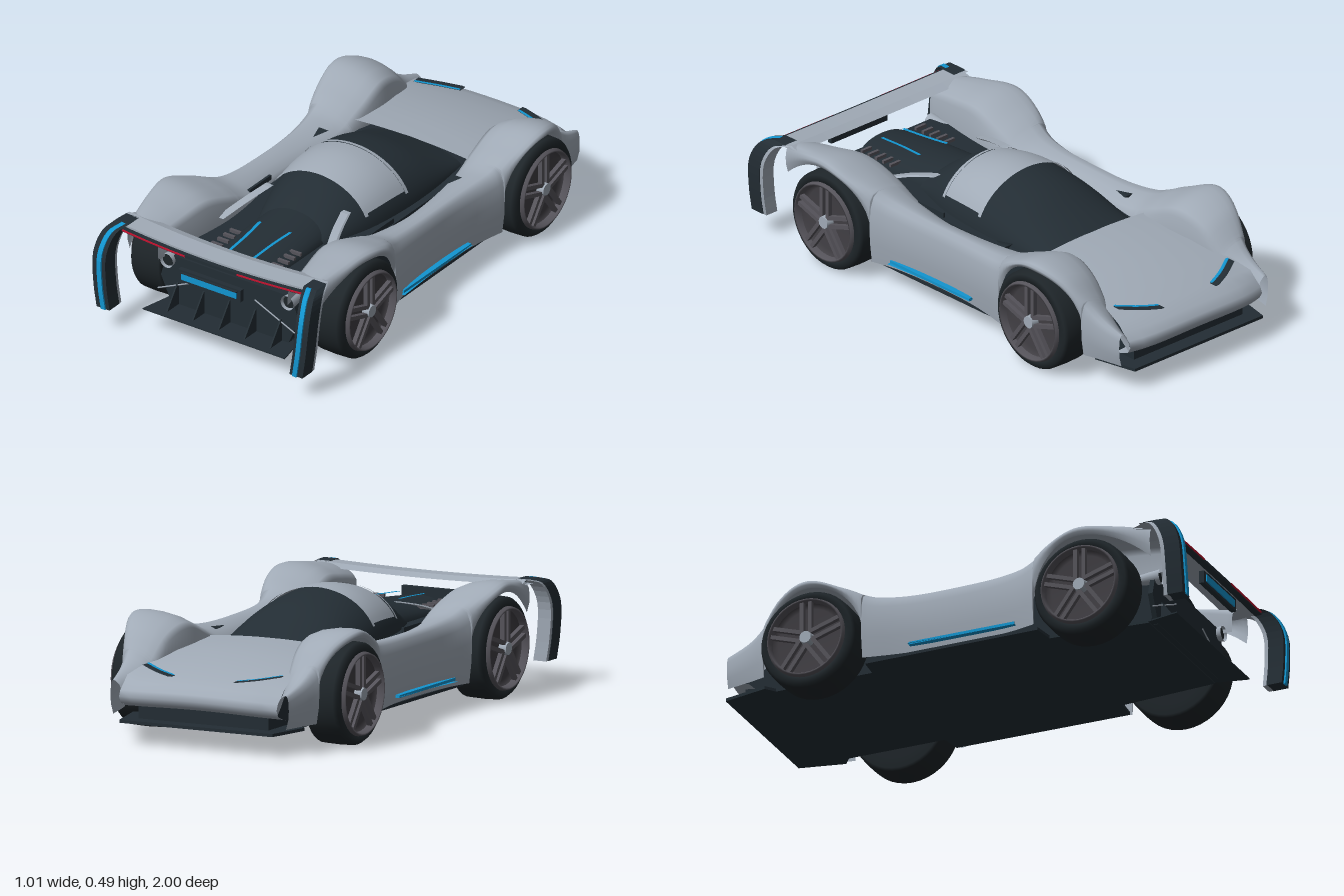
import * as THREE from 'three';

const mat = (name, color) => {
  const m = new THREE.MeshStandardMaterial({ color, side: THREE.DoubleSide });
  m.name = name;
  return m;
};

// Smooth interpolation through [position, value] keys
function smooth(keys, t) {
  const n = keys.length - 1;
  if (t <= keys[0][0]) return keys[0][1];
  if (t >= keys[n][0]) return keys[n][1];
  let i = 0;
  while (t > keys[i + 1][0]) i++;
  const slope = (k) => {
    const a = keys[Math.max(k - 1, 0)], b = keys[Math.min(k + 1, n)];
    return (b[1] - a[1]) / (b[0] - a[0]);
  };
  const [a, ya] = keys[i], [b, yb] = keys[i + 1], h = b - a, u = (t - a) / h;
  return ya * (1 + 2 * u) * (1 - u) ** 2 + yb * u * u * (3 - 2 * u)
    + h * (slope(i) * u * (1 - u) ** 2 + slope(i + 1) * u * u * (u - 1));
}

// Skin over rows of [x, y, z] points
function loft(rows, flat = false) {
  const n = rows[0].length, index = [];
  for (let i = 0; i < rows.length - 1; i++)
    for (let j = 0; j < n - 1; j++) {
      const a = i * n + j, b = a + n;
      index.push(a, b, a + 1, b, b + 1, a + 1);
    }
  let g = new THREE.BufferGeometry();
  g.setAttribute('position', new THREE.Float32BufferAttribute(rows.flat(2), 3));
  g.setIndex(index);
  if (flat) g = g.toNonIndexed();
  g.computeVertexNormals();
  return g;
}

// Rectangular bar swept along a smooth path, hx and hz are half sizes
function ribbon(points, hx, hz, dx = 0, dz = 0) {
  const curve = new THREE.CatmullRomCurve3(points.map((p) => new THREE.Vector3(...p)));
  const rows = curve.getPoints(16).map((p) =>
    [[-1, -1], [1, -1], [1, 1], [-1, 1], [-1, -1]].map(([a, b]) => [p.x + dx + a * hx, p.y, p.z + dz + b * hz]));
  const cap = (r) => r.map(() => [r[0][0] + hx, r[0][1], r[0][2] + hz]);
  return loft([cap(rows[0]), ...rows, cap(rows[16])], true);
}

const range = (a, b, n) => Array.from({ length: n + 1 }, (_, i) => a + (b - a) * i / n);

// Plan outline given as [x, z] for +x, mirrored, laid flat with its underside at y
function plate(half, y, depth) {
  const pts = [...half, ...half.map(([x, z]) => [-x, z]).reverse()];
  const g = new THREE.ExtrudeGeometry(new THREE.Shape(pts.map(([x, z]) => new THREE.Vector2(x, z))), { depth, bevelEnabled: false });
  return g.rotateX(Math.PI / 2).translate(0, y + depth, 0);
}

// Side outline given as [z, y], extruded along x around x0
function sidePanel(pts, width, x0 = 0) {
  const shape = new THREE.Shape(pts.map(([z, y]) => new THREE.Vector2(-z, y)));
  return new THREE.ExtrudeGeometry(shape, { depth: width, bevelEnabled: false })
    .rotateY(Math.PI / 2).translate(x0 - width / 2, 0, 0);
}

export function createModel() {
  const car = new THREE.Group();
  const paint = mat('silver paint', 0xa0aab6), dark = mat('dark panel', 0x232d34), rubber = mat('tyre rubber', 0x1e2529),
    rimGrey = mat('rim grey', 0x55535a), dish = mat('rim shadow grey', 0x403e43), blue = mat('blue light', 0x1295d0), red = mat('red light', 0xc4122f);
  const add = (parent, name, g, m) => {
    const mesh = new THREE.Mesh(g, m);
    mesh.name = name;
    parent.add(mesh);
    return mesh;
  };
  const box = (w, h, d, x, y, z) => new THREE.BoxGeometry(w, h, d).translate(x, y, z);
  const rod = (a, b, r) => new THREE.TubeGeometry(new THREE.LineCurve3(new THREE.Vector3(...a), new THREE.Vector3(...b)), 1, r, 6);

  // Floor, splitter, central tub and diffuser
  add(car, 'floor', plate([[0.33, -0.98], [0.37, -0.8], [0.33, -0.77], [0.33, -0.37], [0.415, -0.36], [0.42, 0.36],
    [0.33, 0.37], [0.3, 0.77]], 0.088, 0.012), dark);
  add(car, 'diffuser', plate([[0.3, 0.76], [0.33, 0.9]], 0.092, 0.005), dark);
  add(car, 'tub', sidePanel([[-0.92, 0.1], [-0.92, 0.17], [-0.8, 0.24], [-0.4, 0.3], [0.78, 0.3], [0.79, 0.2], [0.77, 0.1]], 0.56), dark);
  const tail = [[0.27, 0.09], [0.32, 0.2], [0.29, 0.3], [-0.29, 0.3], [-0.32, 0.2], [-0.27, 0.09]];
  add(car, 'tailPanel', new THREE.ExtrudeGeometry(new THREE.Shape(tail.map((p) => new THREE.Vector2(...p))),
    { depth: 0.02, bevelEnabled: false }).translate(0, 0, 0.775), dark);
  for (const x of [-0.24, -0.12, 0, 0.12, 0.24])
    add(car, 'diffuserFin', sidePanel([[0.76, 0.096], [0.87, 0.096], [0.8, 0.19], [0.76, 0.2]], 0.006, x), dark);

  // Bonnet rolling over into the nose
  const hood = [[-0.39, 0.352], [-0.5, 0.348], [-0.65, 0.335], [-0.8, 0.302], [-0.9, 0.273], [-0.96, 0.248], [-0.99, 0.222],
    [-1, 0.198], [-0.985, 0.172], [-0.95, 0.158], [-0.88, 0.15]];
  add(car, 'bonnet', loft(hood.map(([z, y]) => {
    const w = 0.27 + 0.07 * THREE.MathUtils.smoothstep(-z, 0.6, 0.92);
    return range(-1, 1, 12).map((u) => [u * w, y - 0.012 * u * u, z + (z < -0.9 ? 0.035 * u ** 4 : 0)]);
  })), paint);

  // Canopy with a silver roof band
  const canopyW = [[-0.4, 0.23], [-0.2, 0.25], [0, 0.25], [0.2, 0.225], [0.4, 0.16]];
  const canopyY = [[-0.4, 0.348], [-0.3, 0.395], [-0.15, 0.457], [0.04, 0.488], [0.2, 0.465], [0.3, 0.42], [0.4, 0.35]];
  const dome = (z0, z1, grow, a0 = 0) => loft(range(z0, z1, 20).map((z) => range(a0, Math.PI - a0, 24).map((a) => [
    (smooth(canopyW, z) + grow) * Math.cos(a), 0.29 + (smooth(canopyY, z) - 0.29 + grow) * Math.sin(a), z])));
  add(car, 'canopy', dome(-0.4, 0.4, 0), dark);
  add(car, 'roofBand', dome(-0.015, 0.2, 0.005, 0.4), paint);
  for (const z of [-0.02, 0.205]) add(car, 'roofFrame', dome(z - 0.008, z + 0.008, 0.009, 0.35), paint);

  // Engine cover
  add(car, 'engineCover', loft(range(0.36, 0.78, 10).map((z) => range(0, Math.PI, 16).map((a) => [
    (0.15 - 0.04 * Math.max(0, (z - 0.6) / 0.18) ** 2) * Math.cos(a), 0.295 + (0.085 - 0.1 * (z - 0.36)) * Math.sin(a), z]))), dark);

  // Rear light panel
  add(car, 'lightFrame', box(0.29, 0.05, 0.02, 0, 0.317, 0.918), dark);
  add(car, 'lightHood', box(0.26, 0.004, 0.01, 0, 0.333, 0.931), dark);
  add(car, 'lightPanel', box(0.255, 0.028, 0.006, 0, 0.317, 0.93), blue);

  // Rear wing with a dark trailing lip
  const wingY = (x) => 0.4 + 0.012 * (x / 0.44) ** 2;
  const wingStrip = (x0, x1, section) => loft(range(x0, x1, 16).map((x) => section.map(([z, y]) =>
    [x, wingY(x) + y, z - 0.015 * (x / 0.44) ** 2])), true);
  add(car, 'wing', wingStrip(-0.45, 0.45, [[0.78, 0.003], [0.82, 0.016], [0.9, 0.012], [0.9, -0.006], [0.82, -0.003], [0.78, 0.003]]), paint);
  add(car, 'wingLip', wingStrip(-0.44, 0.44, [[0.89, 0.004], [0.918, 0.004], [0.918, -0.008], [0.89, -0.008], [0.89, 0.004]]), dark);

  // Fender dimensions along the length
  const top = [[-0.95, 0.245], [-0.86, 0.28], [-0.8, 0.32], [-0.7, 0.415], [-0.57, 0.453], [-0.43, 0.405], [-0.3, 0.357],
    [0, 0.345], [0.28, 0.362], [0.42, 0.415], [0.56, 0.457], [0.7, 0.443], [0.84, 0.418]];
  const outer = [[-0.95, 0.385], [-0.8, 0.42], [-0.6, 0.487], [-0.45, 0.475], [-0.2, 0.43], [0, 0.42], [0.25, 0.435], [0.5, 0.493],
    [0.65, 0.48], [0.84, 0.445]];
  const inner = [[-0.95, 0.33], [-0.8, 0.29], [-0.55, 0.245], [-0.3, 0.255], [0.05, 0.285], [0.3, 0.255], [0.5, 0.25], [0.84, 0.3]];
  const R = 0.212, axleY = 0.205, axles = [-0.57, 0.57];
  const lower = (z) => {
    if (z > 0.57) return axleY + R - 0.12 * ((z - 0.57) / 0.27) ** 2;
    const d = Math.min(...axles.map((a) => Math.abs(z - a)));
    return d <= R ? axleY + Math.sqrt(R * R - d * d) : z < -0.77 ? 0.115 : 0.1;
  };
  const stations = [...range(-0.95, 0.84, 90),
    ...[-0.57 - R, -0.57 + R, 0.57 - R].flatMap((e) => [-0.0015, -0.0005, 0.0005, 0.0015, 0.006, -0.006].map((d) => e + d))].sort((a, b) => a - b);
  const fender = () => loft(stations.map((z) => {
    const t = smooth(top, z), o = smooth(outer, z), i = smooth(inner, z), b = Math.min(lower(z), t - 0.025), h = t - b;
    const w = o - i, yi = Math.min(0.29, t - 0.09);
    return [[o - 0.012, b], [o - 0.002, b + 0.3 * h], [o, b + 0.55 * h], [o - 0.03 * w, b + 0.8 * h], [o - 0.1 * w, b + 0.94 * h],
      [o - 0.22 * w, t], [o - 0.42 * w, t - 0.003], [i + 0.32 * w, t - 0.015], [i + 0.12 * w, t - 0.036], [i + 0.02 * w, t - 0.056], [i, yi]]
      .map(([x, y]) => [x, y, z]);
  }));

  // Wheel facing +x, with the rim standing proud of the tyre
  const makeWheel = () => {
    const wheel = new THREE.Group();
    const lathe = (pts) => new THREE.LatheGeometry(pts.map((p) => new THREE.Vector2(...p)), 40).rotateZ(-Math.PI / 2);
    add(wheel, 'tyre', lathe([[0.145, -0.072], [0.185, -0.072], [0.196, -0.066], [0.198, 0], [0.196, 0.055], [0.186, 0.068], [0.162, 0.074], [0.155, 0.05]]), rubber);
    add(wheel, 'rimDish', lathe([[0.001, 0.045], [0.13, 0.045], [0.146, 0.06]]), dish);
    add(wheel, 'rimLip', lathe([[0.146, 0.06], [0.15, 0.088], [0.157, 0.088], [0.162, 0.07]]), rimGrey);
    add(wheel, 'innerDisc', lathe([[0.001, -0.06], [0.15, -0.06]]), rubber);
    for (let k = 0; k < 5; k++)
      for (const s of [-1, 1])
        add(wheel, 'spoke', box(0.018, 0.13, 0.016, 0.07, 0.085, s * 0.017).rotateX(k * Math.PI * 2 / 5), rimGrey);
    add(wheel, 'hub', new THREE.CylinderGeometry(0.024, 0.028, 0.03, 20).rotateZ(-Math.PI / 2).translate(0.07, 0, 0), paint);
    return wheel;
  };

  // Everything that is mirrored left and right
  const swoosh = [[0.435, 0.428, 0.85], [0.457, 0.408, 0.905], [0.471, 0.33, 0.95], [0.463, 0.2, 0.961], [0.448, 0.1, 0.961]];
  for (const s of [1, -1]) {
    const side = new THREE.Group();
    side.name = s > 0 ? 'leftSide' : 'rightSide';
    side.scale.x = s;
    car.add(side);
    add(side, 'fender', fender(), paint);
    axles.forEach((z, k) => {
      const wheel = makeWheel();
      wheel.name = k ? 'rearWheel' : 'frontWheel';
      wheel.position.set(0.418, axleY, z);
      side.add(wheel);
    });
    add(side, 'sillLight', ribbon([[0.431, 0.124, 0.275], [0.424, 0.129, 0.05], [0.428, 0.133, -0.17]].map(([x, y, z]) => [x, y - 0.006, z]), 0.012, 0.002), blue);
    add(side, 'sillLightFace', box(0.024, 0.011, 0.44, 0.424, 0.128, 0.05), blue);
    // Headlight streak
    const lamp = [[0.14, 0.274, -0.915], [0.21, 0.282, -0.885], [0.29, 0.295, -0.84]];
    add(side, 'headlight', ribbon(lamp, 0.008, 0.017), dark);
    add(side, 'headlightStrip', ribbon(lamp.map(([x, y, z]) => [x, y + 0.003, z]), 0.004, 0.005, 0, 0.015), blue);
    // Wing end plate
    add(side, 'endPlate', ribbon(swoosh, 0.03, 0.032), dark);
    add(side, 'endPlateEdge', ribbon(swoosh, 0.028, 0.01, 0, -0.038), paint);
    add(side, 'endPlateLight', ribbon(swoosh, 0.01, 0.004, -0.004, 0.035), blue);
    add(side, 'tailLight', wingStrip(0.12, 0.42, [[0.917, 0.002], [0.922, 0.002], [0.922, -0.004], [0.917, -0.004], [0.917, 0.002]]), red);
    // Engine bay details
    add(side, 'engineStripe', ribbon([[0.07, 0.372, 0.5], [0.06, 0.365, 0.6], [0.055, 0.356, 0.72]], 0.006, 0.004), blue);
    for (let k = 0; k < 5; k++) add(side, 'louvre', box(0.05, 0.012, 0.012, 0.14, 0.335, 0.56 + k * 0.04), rimGrey);
    add(side, 'bayStrut', ribbon([[0.18, 0.4, 0.29], [0.21, 0.375, 0.39], [0.25, 0.335, 0.5]], 0.017, 0.01), paint);
    add(side, 'exhaust', new THREE.CylinderGeometry(0.03, 0.02, 0.1, 16, 1, true).rotateX(Math.PI / 2).translate(0.28, 0.28, 0.765), paint);
    add(side, 'exhaustBore', new THREE.CircleGeometry(0.024, 16).translate(0.28, 0.28, 0.805), rubber);
    add(side, 'diffuserRod', rod([0.12, 0.235, 0.8], [0.33, 0.14, 0.8], 0.003), paint);
    // Fender vents
    add(side, 'fenderVent', new THREE.ConeGeometry(0.026, 0.07, 3).scale(1, 1, 0.25).rotateX(Math.PI / 2).translate(0.31, 0.344, -0.22), dark);
    add(side, 'fenderSlot', box(0.01, 0.02, 0.14, 0.285, 0.325, 0.2), dark);
  }
  return car;
}
